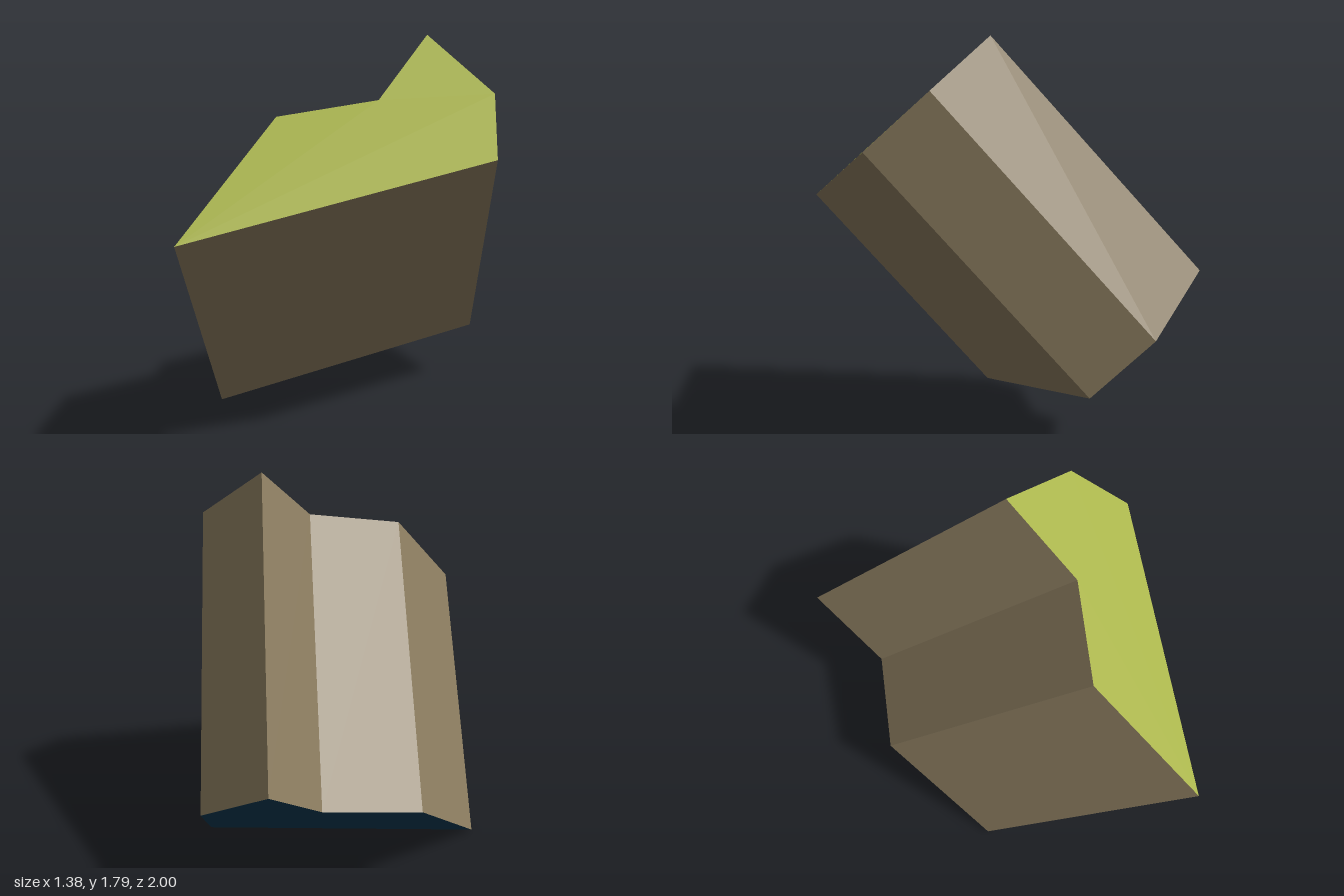
import * as THREE from 'three';

// Matching corners of the two end outlines, counter-clockwise seen from above
const TOP = [
  [-0.372, 1.036, 0.998], [0.69, 1.316, 0.289], [0.614, 1.555, 0.035],
  [0.267, 1.79, -0.121], [0.163, 1.53, 0.225], [-0.214, 1.467, 0.431],
];
const BOTTOM = [
  [-0.694, 0.0, 0.139], [0.391, 0.292, -0.582], [0.315, 0.535, -0.841],
  [-0.041, 0.778, -1.0], [-0.146, 0.511, -0.648], [-0.533, 0.445, -0.437],
];

// Unshared triangles keep every face flat
function facetMesh(name, triangles, material) {
  const geometry = new THREE.BufferGeometry();
  geometry.setAttribute('position', new THREE.Float32BufferAttribute(triangles.flat(2), 3));
  geometry.computeVertexNormals();
  const mesh = new THREE.Mesh(geometry, material);
  mesh.name = name;
  return mesh;
}

// Fill a concave end outline; flip makes it face downwards
function capTriangles(ring, flip) {
  const outline = ring.map(([x, , z]) => new THREE.Vector2(x, -z));
  return THREE.ShapeUtils.triangulateShape(outline, []).map(([a, b, c]) =>
    (flip ? [a, c, b] : [a, b, c]).map((i) => ring[i]));
}

export function createModel() {
  const green = new THREE.MeshStandardMaterial({ color: 0xaab54b });
  green.name = 'leaf green';
  const brown = new THREE.MeshStandardMaterial({ color: 0x8c7d60 });
  brown.name = 'earth brown';
  const navy = new THREE.MeshStandardMaterial({ color: 0x083850 });
  navy.name = 'deep navy';

  // Side walls join each outline edge to its partner
  const walls = [];
  TOP.forEach((top, i) => {
    const j = (i + 1) % TOP.length;
    walls.push([BOTTOM[i], BOTTOM[j], TOP[j]], [BOTTOM[i], TOP[j], top]);
  });

  const model = new THREE.Group();
  model.name = 'tiltedPrism';
  model.add(
    facetMesh('sideWalls', walls, brown),
    facetMesh('topCap', capTriangles(TOP, false), green),
    facetMesh('bottomCap', capTriangles(BOTTOM, true), navy),
  );
  return model;
}
